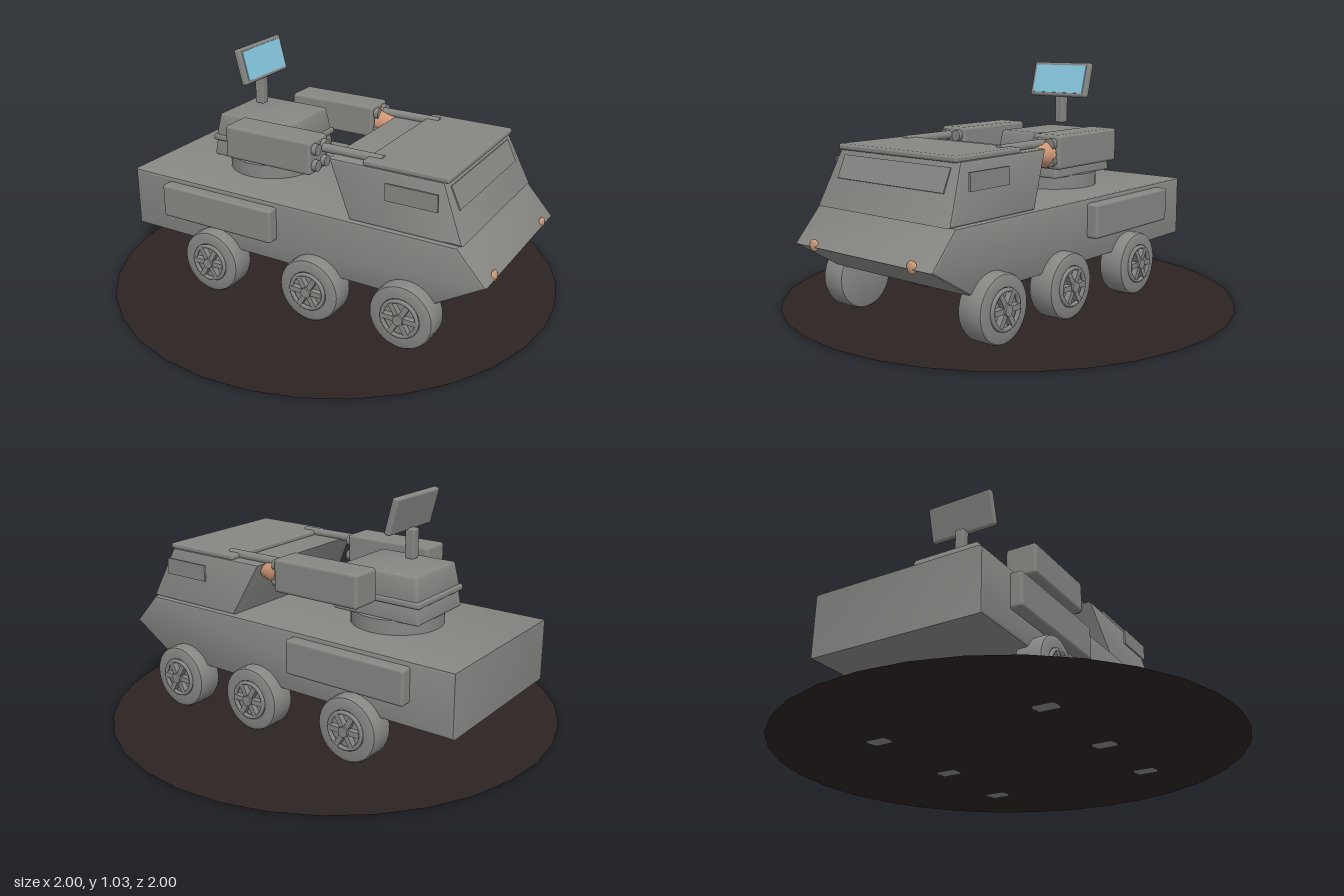
import * as THREE from 'three';
import { toCreasedNormals } from 'three/addons/utils/BufferGeometryUtils.js';
import { RoundedBoxGeometry } from 'three/addons/geometries/RoundedBoxGeometry.js';

const paint = (name, color) => Object.assign(new THREE.MeshStandardMaterial({ color }), { name });

export function createModel() {
  const grey = paint('armour grey', 0x868683);
  const orange = paint('lamp orange', 0xcd9775);
  const blue = paint('screen blue', 0x87c9e2);
  const dark = paint('ground brown', 0x2d2323);
  dark.side = THREE.DoubleSide;

  const model = new THREE.Group();
  model.name = 'armouredCar';

  const add = (name, geometry, material, x = 0, y = 0, z = 0, parent = model) => {
    const mesh = new THREE.Mesh(geometry, material);
    mesh.name = name;
    mesh.position.set(x, y, z);
    parent.add(mesh);
    return mesh;
  };

  // Box with softened edges, given by its limits
  const block = (name, [x0, x1], [y0, y1], [z0, z1], radius = 0.01, parent = model) =>
    add(name, new RoundedBoxGeometry(x1 - x0, y1 - y0, z1 - z0, 2, radius), grey,
      (x0 + x1) / 2, (y0 + y1) / 2, (z0 + z1) / 2, parent);

  // Side profile extruded across the width with bevelled edges
  const profile = (points, halfWidth, bevel) => {
    const shape = new THREE.Shape(points.map(([x, y]) => new THREE.Vector2(x, y)));
    const g = new THREE.ExtrudeGeometry(shape, {
      depth: 2 * (halfWidth - bevel), bevelEnabled: true, bevelThickness: bevel,
      bevelSize: bevel, bevelOffset: -bevel, bevelSegments: 2,
    });
    return g.translate(0, 0, bevel - halfWidth);
  };

  // Narrow a geometry towards its top
  const taper = (g, y0, y1, topX, topZ) => {
    const p = g.attributes.position;
    for (let i = 0; i < p.count; i++) {
      const t = (p.getY(i) - y0) / (y1 - y0);
      p.setX(i, p.getX(i) * (1 + (topX - 1) * t));
      p.setZ(i, p.getZ(i) * (1 + (topZ - 1) * t));
    }
    return toCreasedNormals(g, 0.5);
  };

  // Ground disc
  add('groundDisc', new THREE.CircleGeometry(1, 32).rotateX(-Math.PI / 2), dark, 0, 0.008);

  // Hull with wedge nose
  add('hull', toCreasedNormals(profile(
    [[-0.83, 0.205], [0.66, 0.205], [0.875, 0.335], [0.75, 0.475], [-0.83, 0.475]], 0.385, 0.012), 0.5), grey);

  // Cabin, leaning inwards to the roof
  add('cabin', taper(profile(
    [[0.275, 0.475], [0.765, 0.475], [0.665, 0.705], [0.16, 0.705]], 0.37, 0.01), 0.475, 0.705, 1, 0.9), grey);
  block('roofPlate', [0.31, 0.685], [0.7, 0.726], [-0.328, 0.328]);
  const windscreen = add('windscreen', new THREE.BoxGeometry(0.009, 0.1, 0.59), grey, 0.696, 0.635, 0);
  windscreen.rotation.z = 0.43;

  // Turret
  add('turretRing', new THREE.CylinderGeometry(0.2, 0.2, 0.065, 32), grey, -0.327, 0.505, 0);
  const tier = (name, y0, y1, w, d, topX, topZ) => {
    const h = y1 - y0;
    add(name, taper(new RoundedBoxGeometry(w, h, d, 2, 0.01), -h / 2, h / 2, topX, topZ), grey, -0.327, (y0 + y1) / 2, 0);
  };
  tier('turretLower', 0.532, 0.61, 0.42, 0.35, 0.95, 0.95);
  tier('turretBand', 0.603, 0.63, 0.428, 0.355, 1, 1);
  tier('turretUpper', 0.62, 0.728, 0.405, 0.34, 0.9, 0.92);

  // Tilted display on its post
  block('displayPost', [-0.412, -0.368], [0.755, 0.885], [-0.022, 0.022], 0.008);
  const display = new THREE.Group();
  display.name = 'display';
  display.position.set(-0.388, 0.955, 0);
  display.rotation.z = 0.26;
  model.add(display);
  block('displayFrame', [-0.015, 0.015], [-0.08, 0.08], [-0.16, 0.16], 0.01, display);
  add('displayScreen', new THREE.BoxGeometry(0.006, 0.13, 0.282), blue, 0.016, 0, 0, display);

  // Wheel: rounded tyre, hub ring and spokes, axis along z
  const tyre = new THREE.LatheGeometry([
    [0, -0.06], [0.12, -0.06], [0.135, -0.054], [0.14, -0.042], [0.14, 0.042], [0.135, 0.054], [0.12, 0.06],
    [0.087, 0.06], [0.08, 0.045], [0, 0.045],
  ].map(([r, y]) => new THREE.Vector2(r, y)), 32);
  const tyreGeo = toCreasedNormals(tyre.rotateX(Math.PI / 2), 0.6);
  const ring = new THREE.TorusGeometry(0.077, 0.009, 8, 32);
  const hub = new THREE.CylinderGeometry(0.022, 0.024, 0.035, 16).rotateX(Math.PI / 2);
  const spoke = new THREE.BoxGeometry(0.064, 0.022, 0.025).translate(0.042, 0, 0);

  for (const side of [1, -1]) {
    const label = side > 0 ? 'left' : 'right';
    const span = (a, b) => (side > 0 ? [a, b] : [-b, -a]);

    for (const x of [-0.38, 0.125, 0.55]) {
      const wheel = new THREE.Group();
      wheel.name = label + 'Wheel';
      wheel.position.set(x, 0.144, side * 0.387);
      if (side < 0) wheel.rotation.y = Math.PI;
      model.add(wheel);
      add('tyre', tyreGeo, grey, 0, 0, 0, wheel);
      add('hubRing', ring, grey, 0, 0, 0.062, wheel);
      add('hub', hub, grey, 0, 0, 0.063, wheel);
      for (let i = 0; i < 6; i++) {
        add('spoke', spoke, grey, 0, 0, 0.06, wheel).rotation.z = i * Math.PI / 3;
      }
    }

    // Hull stowage box, lamp and cabin window
    block(label + 'StowageBox', [-0.635, -0.065], [0.305, 0.455], span(0.36, 0.435), 0.012);
    add(label + 'Headlamp', new THREE.SphereGeometry(0.025, 16, 12).scale(0.5, 1, 1), orange, 0.864, 0.34, side * 0.275);
    add(label + 'CabinWindow', new THREE.BoxGeometry(0.225, 0.072, 0.009), grey, 0.548, 0.633, side * 0.37);

    // Weapon pod with four short tubes and a barrel
    block(label + 'Pod', [-0.35, 0.072], [0.607, 0.752], span(0.193, 0.336), 0.014);
    const tube = new THREE.CylinderGeometry(0.024, 0.024, 0.04, 16).rotateZ(Math.PI / 2);
    for (const dy of [-0.035, 0.035]) {
      for (const dz of [-0.035, 0.035]) {
        add(label + 'PodTube', tube, grey, 0.073, 0.68 + dy, side * 0.265 + dz);
      }
    }
    add(label + 'Barrel', new THREE.CylinderGeometry(0.019, 0.019, 0.275, 16).rotateZ(Math.PI / 2), grey, 0.235, 0.717, side * 0.265);
  }

  // Muzzle cone on the right pod
  add('muzzleCone', new THREE.CylinderGeometry(0.032, 0.06, 0.1, 20).rotateZ(-Math.PI / 2), orange, 0.128, 0.672, -0.265);

  return model;
}
